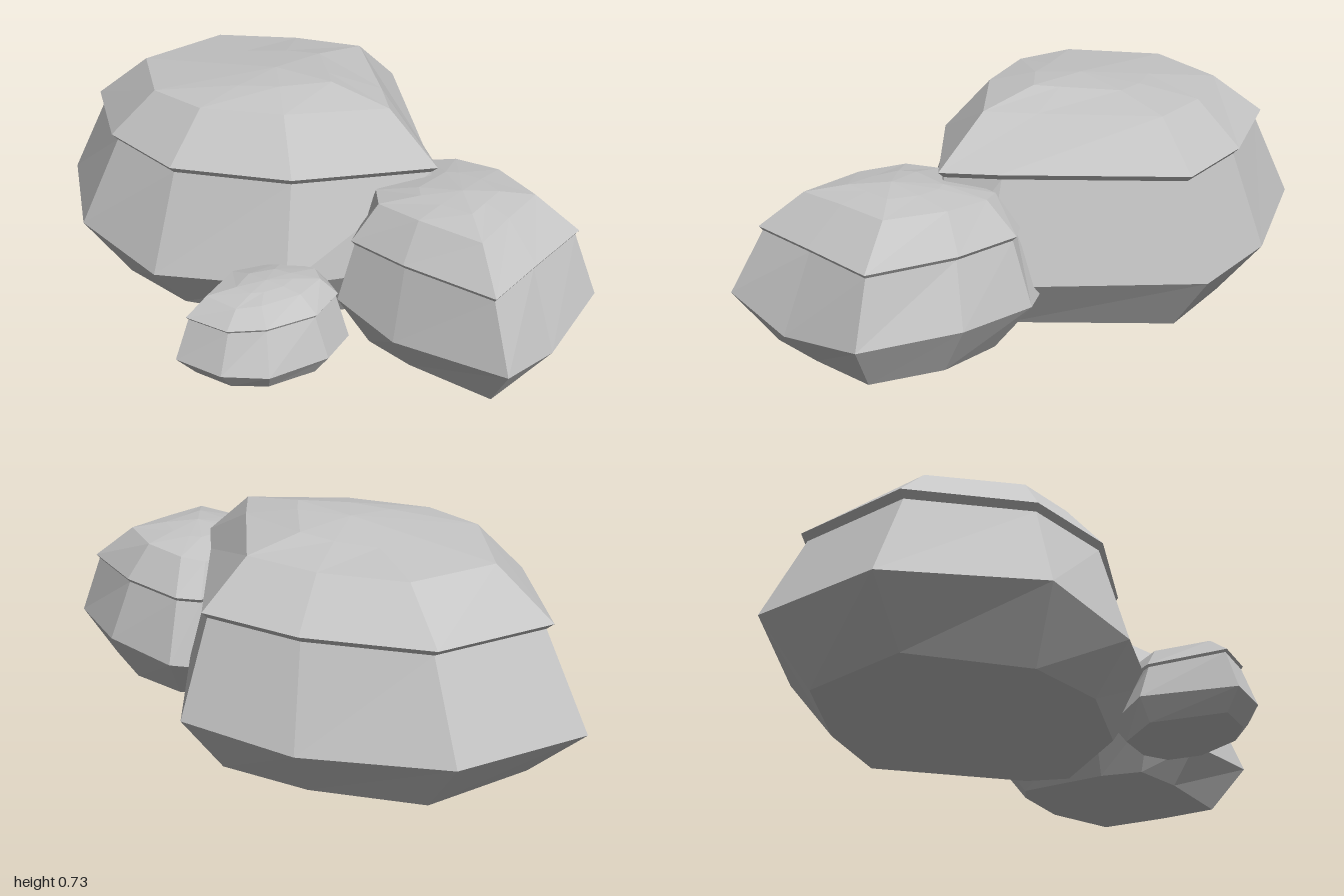
import * as THREE from 'three';

const stone = new THREE.MeshStandardMaterial({ color: 0xc5c5c5, flatShading: true });
stone.name = 'grey stone';

// Shrinks a ring towards a centre [x, z]; y gives the new height from the old height and x
const inset = (ring, [cx, cz], s, y) =>
  ring.map(([px, pz, py]) => [cx + (px - cx) * s, cz + (pz - cz) * s, y(py, px)]);

// Faceted boulder: base, belly, undercut ledge, shoulder, crown and shallow tilted cap.
// Ring points are [x, z, y], running from the left along the front and round the back.
function boulder(name, { centre, peak, baseScale, undercut, ledge, capY, capTilt, belly, shoulder, crown }) {
  const rings = [
    inset(belly, centre, baseScale, () => 0),
    belly,
    inset(shoulder, centre, undercut, y => y - ledge),
    shoulder,
    crown,
    inset(crown, centre, 0.5, (y, x) => capY + capTilt * (x - centre[0])),
  ];
  const n = belly.length;
  const pos = [];
  const tri = (...pts) => pts.forEach(([x, z, y]) => pos.push(x, y, z));
  const bottom = [...centre, 0];
  const top = [...centre, peak];
  for (let i = 0; i < n; i++) {
    const j = (i + 1) % n;
    for (let r = 0; r < rings.length - 1; r++) {
      const lo = rings[r], hi = rings[r + 1];
      tri(lo[i], lo[j], hi[j]);
      tri(lo[i], hi[j], hi[i]);
    }
    tri(rings[0][j], rings[0][i], bottom);
    tri(rings[rings.length - 1][i], rings[rings.length - 1][j], top);
  }
  const geo = new THREE.BufferGeometry();
  geo.setAttribute('position', new THREE.Float32BufferAttribute(pos, 3));
  geo.computeVertexNormals();
  const mesh = new THREE.Mesh(geo, stone);
  mesh.name = name;
  return mesh;
}

export function createModel() {
  const group = new THREE.Group();
  group.name = 'rockCluster';

  group.add(boulder('largeRock', {
    centre: [-0.2, -0.05], peak: 0.725, baseScale: 0.77, undercut: 0.965, ledge: 0.02, capY: 0.712, capTilt: 0.04,
    belly: [
      [-1, 0.2, 0.17], [-0.58, 0.51, 0.21], [-0.21, 0.52, 0.16], [0.2, 0.32, 0.2], [0.46, -0.1, 0.2],
      [0.37, -0.27, 0.18], [-0.17, -0.71, 0.2], [-0.55, -0.58, 0.18], [-0.95, -0.31, 0.2],
    ],
    shoulder: [
      [-0.87, 0.17, 0.5], [-0.52, 0.41, 0.53], [-0.21, 0.43, 0.52], [0.15, 0.24, 0.53], [0.44, -0.13, 0.54],
      [0.29, -0.24, 0.53], [-0.17, -0.62, 0.53], [-0.49, -0.51, 0.52], [-0.83, -0.28, 0.52],
    ],
    crown: [
      [-0.69, 0.1, 0.66], [-0.43, 0.29, 0.68], [-0.21, 0.29, 0.685], [0.03, 0.15, 0.69], [0.25, -0.11, 0.695],
      [0.12, -0.22, 0.69], [-0.19, -0.46, 0.68], [-0.42, -0.38, 0.67], [-0.65, -0.22, 0.665],
    ],
  }));

  group.add(boulder('mediumRock', {
    centre: [0.58, -0.08], peak: 0.53, baseScale: 0.73, undercut: 0.97, ledge: 0.013, capY: 0.518, capTilt: 0.01,
    belly: [
      [0.34, 0.23, 0.17], [0.59, 0.25, 0.13], [1, 0.21, 0.17], [0.97, -0.06, 0.115], [0.91, -0.37, 0.165],
      [0.59, -0.46, 0.17], [0.3, -0.42, 0.15], [0.22, -0.36, 0.15], [0.27, 0.05, 0.16],
    ],
    shoulder: [
      [0.36, 0.19, 0.375], [0.58, 0.2, 0.38], [0.91, 0.17, 0.385], [0.88, -0.07, 0.385], [0.85, -0.34, 0.385],
      [0.56, -0.4, 0.385], [0.32, -0.37, 0.375], [0.26, -0.31, 0.37], [0.29, 0.05, 0.37],
    ],
    crown: [
      [0.4, 0.11, 0.49], [0.57, 0.12, 0.5], [0.79, 0.09, 0.495], [0.76, -0.08, 0.5], [0.73, -0.26, 0.5],
      [0.54, -0.32, 0.5], [0.38, -0.3, 0.49], [0.31, -0.25, 0.48], [0.32, 0.03, 0.48],
    ],
  }));

  group.add(boulder('smallRock', {
    centre: [0.22, 0.43], peak: 0.28, baseScale: 0.79, undercut: 0.97, ledge: 0.008, capY: 0.274, capTilt: 0.01,
    belly: [
      [0.005, 0.41, 0.075], [0.1, 0.71, 0.065], [0.27, 0.68, 0.065], [0.38, 0.58, 0.06],
      [0.44, 0.38, 0.065], [0.4, 0.24, 0.065], [0.29, 0.19, 0.065], [0.12, 0.22, 0.065],
    ],
    shoulder: [
      [0.04, 0.42, 0.195], [0.11, 0.67, 0.205], [0.26, 0.64, 0.205], [0.34, 0.55, 0.205],
      [0.4, 0.39, 0.21], [0.36, 0.25, 0.21], [0.28, 0.21, 0.205], [0.13, 0.24, 0.2],
    ],
    crown: [
      [0.07, 0.43, 0.25], [0.13, 0.6, 0.26], [0.25, 0.59, 0.26], [0.3, 0.53, 0.265],
      [0.34, 0.4, 0.265], [0.32, 0.29, 0.265], [0.26, 0.25, 0.26], [0.15, 0.28, 0.255],
    ],
  }));

  return group;
}
